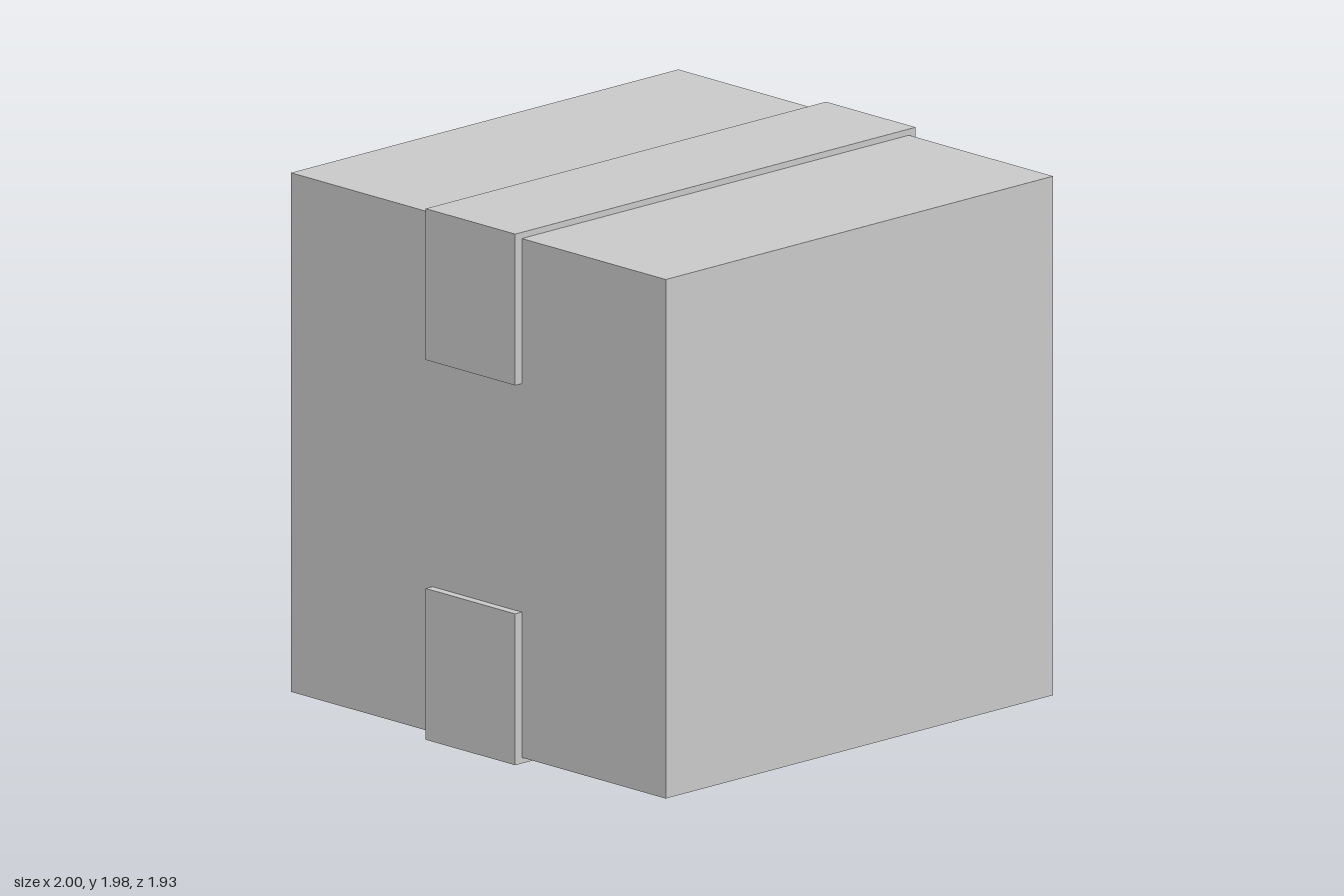
import * as THREE from 'three';

const HALF = 0.967;            // half width of the carton
const BOTTOM = 0.022, TOP = 1.96;
const HEIGHT = 1.983;          // overall height including tape
const FLAP = 0.565;            // how far the tape folds down each side
const TAPE_BACK = -0.238, TAPE_FRONT = 0.224;

// U-shaped strip of tape that wraps over one end and folds down both sides
function makeTape(name, outerY, innerY, endY, material) {
  const shape = new THREE.Shape([
    [-1, endY], [-1, outerY], [1, outerY], [1, endY],
    [HALF, endY], [HALF, innerY], [-HALF, innerY], [-HALF, endY],
  ].map(([x, y]) => new THREE.Vector2(x, y)));
  const geometry = new THREE.ExtrudeGeometry(shape, {
    depth: TAPE_FRONT - TAPE_BACK, bevelEnabled: false,
  });
  geometry.translate(0, 0, TAPE_BACK);
  const tape = new THREE.Mesh(geometry, material);
  tape.name = name;
  return tape;
}

export function createModel() {
  const model = new THREE.Group();
  model.name = 'cardboardBox';
  const material = new THREE.MeshStandardMaterial({ color: 0xcccccc, flatShading: true });

  // Closed carton
  const carton = new THREE.Mesh(
    new THREE.BoxGeometry(HALF * 2, TOP - BOTTOM, HALF * 2), material);
  carton.position.y = (TOP + BOTTOM) / 2;
  carton.name = 'carton';

  // Sealing tape above and below
  model.add(
    carton,
    makeTape('topTape', HEIGHT, TOP, HEIGHT - FLAP, material),
    makeTape('bottomTape', 0, BOTTOM, FLAP, material),
  );
  return model;
}
